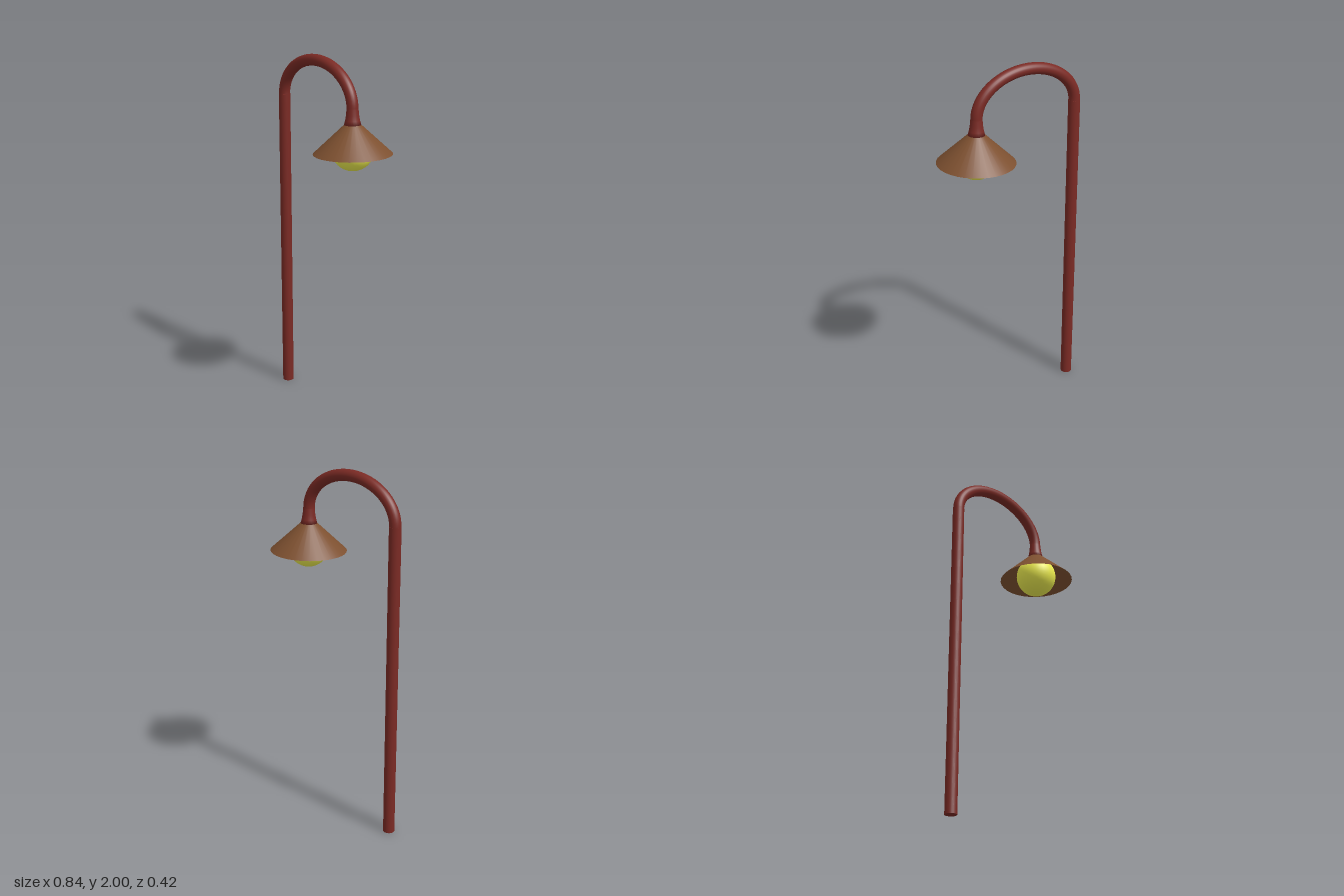
import * as THREE from 'three';

const paint = (color, side = THREE.FrontSide) => new THREE.MeshStandardMaterial({ color, side });

// Half-ellipse centre line of the bent arm
class ArchCurve extends THREE.Curve {
  getPoint(t, target = new THREE.Vector3()) {
    const a = Math.PI * (1 - t);
    return target.set(-0.092 + 0.298 * Math.cos(a), 1.752 + 0.217 * Math.sin(a), 0);
  }
}

export function createModel() {
  const lamp = new THREE.Group();
  lamp.name = 'streetLamp';
  const red = paint(0x7a2a24);
  const brown = paint(0x7d5030, THREE.DoubleSide);
  const yellow = paint(0xf0f050);

  const add = (parent, name, geometry, material, x = 0, y = 0) => {
    const mesh = new THREE.Mesh(geometry, material);
    mesh.name = name;
    mesh.position.set(x, y, 0);
    parent.add(mesh);
    return mesh;
  };

  // Upright post and curved arm
  add(lamp, 'post', new THREE.CylinderGeometry(0.032, 0.032, 1.752, 24), red, -0.39, 0.876);
  add(lamp, 'arm', new THREE.TubeGeometry(new ArchCurve(), 40, 0.031, 24), red);

  // Lamp head hangs from the arm's end, slightly tilted
  const head = new THREE.Group();
  head.name = 'lampHead';
  head.position.set(0.206, 1.752, 0);
  head.rotation.z = 0.024;
  lamp.add(head);

  // Flared neck, profile from bottom to top
  const neck = [[0, -0.085], [0.046, -0.085], [0.039, -0.058], [0.034, -0.03], [0.031, 0.004]]
    .map(([r, y]) => new THREE.Vector2(r, y));
  add(head, 'neck', new THREE.LatheGeometry(neck, 24), red);

  // Open conical shade and round bulb
  add(head, 'shade', new THREE.CylinderGeometry(0.045, 0.209, 0.152, 32, 1, true), brown, 0, -0.156);
  add(head, 'bulb', new THREE.SphereGeometry(0.114, 32, 20), yellow, 0, -0.208);

  return lamp;
}
